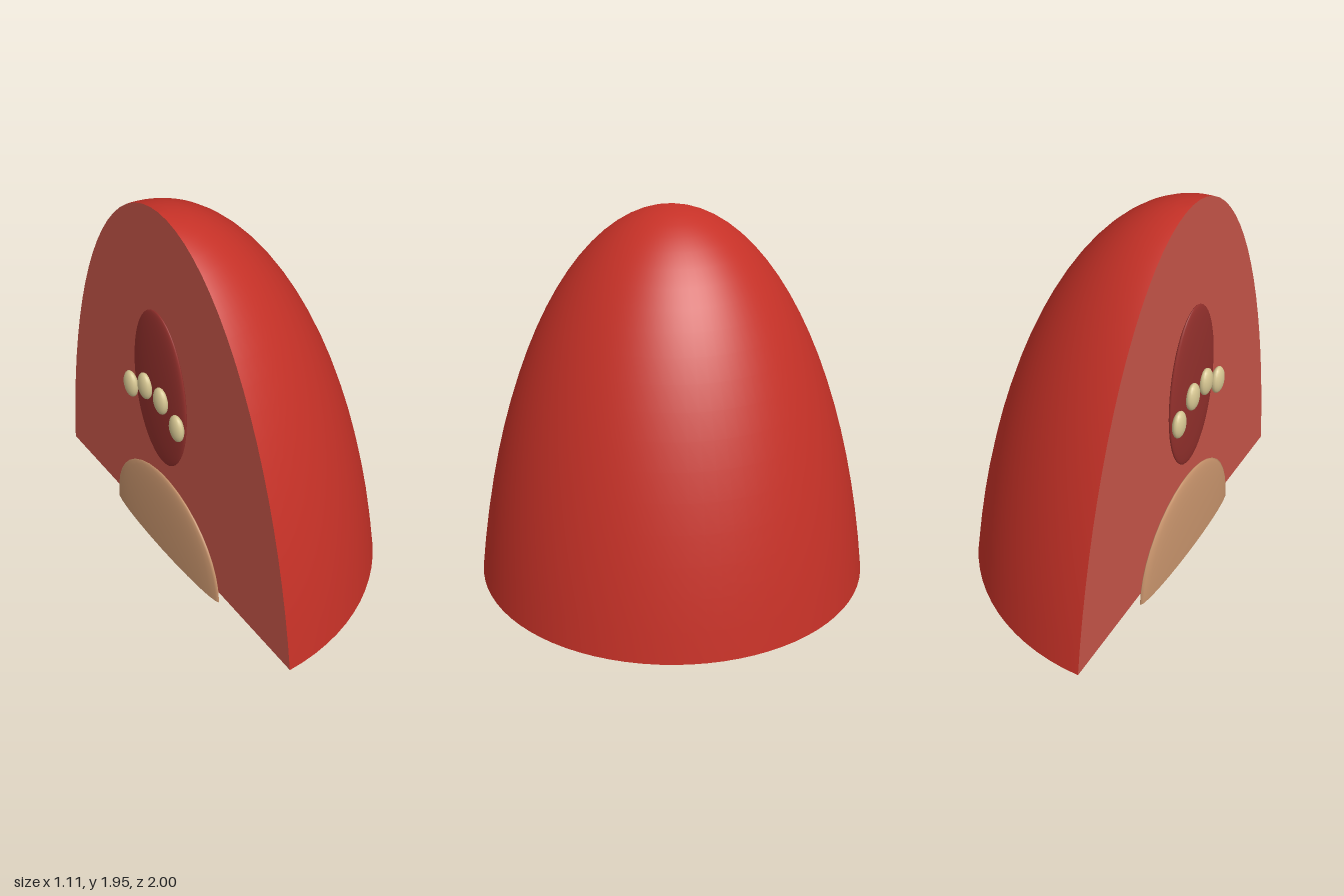
import * as THREE from 'three';

const mat = (name, color) => {
  const m = new THREE.MeshStandardMaterial({ color });
  m.name = name;
  return m;
};

export function createModel() {
  const red = mat('red skin', 0xc63127);
  const flesh = mat('dull red flat', 0xc65549);
  const dark = mat('dark red', 0x93302c);
  const tan = mat('tan', 0xc8946c);
  const cream = mat('cream', 0xd6c692);

  const model = new THREE.Group();
  const add = (name, geometry, material, x = 0, y = 0, z = 0, parent = model) => {
    const mesh = new THREE.Mesh(geometry, material);
    mesh.name = name;
    mesh.position.set(x, y, z);
    parent.add(mesh);
    return mesh;
  };

  // Dome profile: the upper part of a tall ellipsoid, from base rim to tip
  const cutX = -0.455, width = 1.008, steps = 20;
  const centreY = -0.719, ry = 2.664;
  const start = Math.acos(-centreY / ry);
  const rx = 1 / Math.sin(start);
  const profile = [];
  for (let i = 0; i <= steps; i++) {
    const a = start * (1 - i / steps);
    profile.push(new THREE.Vector2(rx * Math.sin(a), centreY + ry * Math.cos(a)));
  }

  // Half dome bulging towards +x
  const dome = new THREE.LatheGeometry(profile, 40, 0, Math.PI).scale(width, 1, 1);
  add('dome', dome, red, cutX);

  // Flat upright face on the -x side
  const outline = [...profile, ...profile.slice(0, -1).reverse().map(p => new THREE.Vector2(-p.x, p.y))];
  const face = new THREE.ShapeGeometry(new THREE.Shape(outline)).rotateY(-Math.PI / 2);
  add('flatFace', face, flesh, cutX);

  // Flat underside
  const base = new THREE.CircleGeometry(1, 40, -Math.PI / 2, Math.PI)
    .rotateX(Math.PI / 2).scale(width, 1, 1);
  add('underside', base, flesh, cutX);

  // Mouth: flattened ellipsoid on the flat face
  add('mouth', new THREE.SphereGeometry(1, 32, 24).scale(0.031, 0.44, 0.22), dark, -0.487, 1, 0);

  // Teeth in a shallow arc across the mouth
  const tooth = new THREE.SphereGeometry(1, 16, 12).scale(0.028, 0.072, 0.05);
  [[-0.2, 0.928], [-0.068, 1], [0.068, 1], [0.2, 0.928]].forEach(([z, y], i) =>
    add('tooth' + (i + 1), tooth, cream, -0.528, y, z));

  // Belly patch: half of a flattened ellipsoid, closed at the bottom
  const belly = new THREE.Group();
  belly.name = 'belly';
  belly.position.x = -0.49;
  model.add(belly);
  const half = new THREE.SphereGeometry(1, 24, 10, 0, Math.PI * 2, 0, Math.PI / 2);
  add('bellyDome', half.scale(0.036, 0.47, 0.47), tan, 0, 0, 0, belly);
  add('bellyBase', new THREE.CircleGeometry(1, 24).rotateX(Math.PI / 2).scale(0.036, 1, 0.47), tan, 0, 0, 0, belly);

  return model;
}
